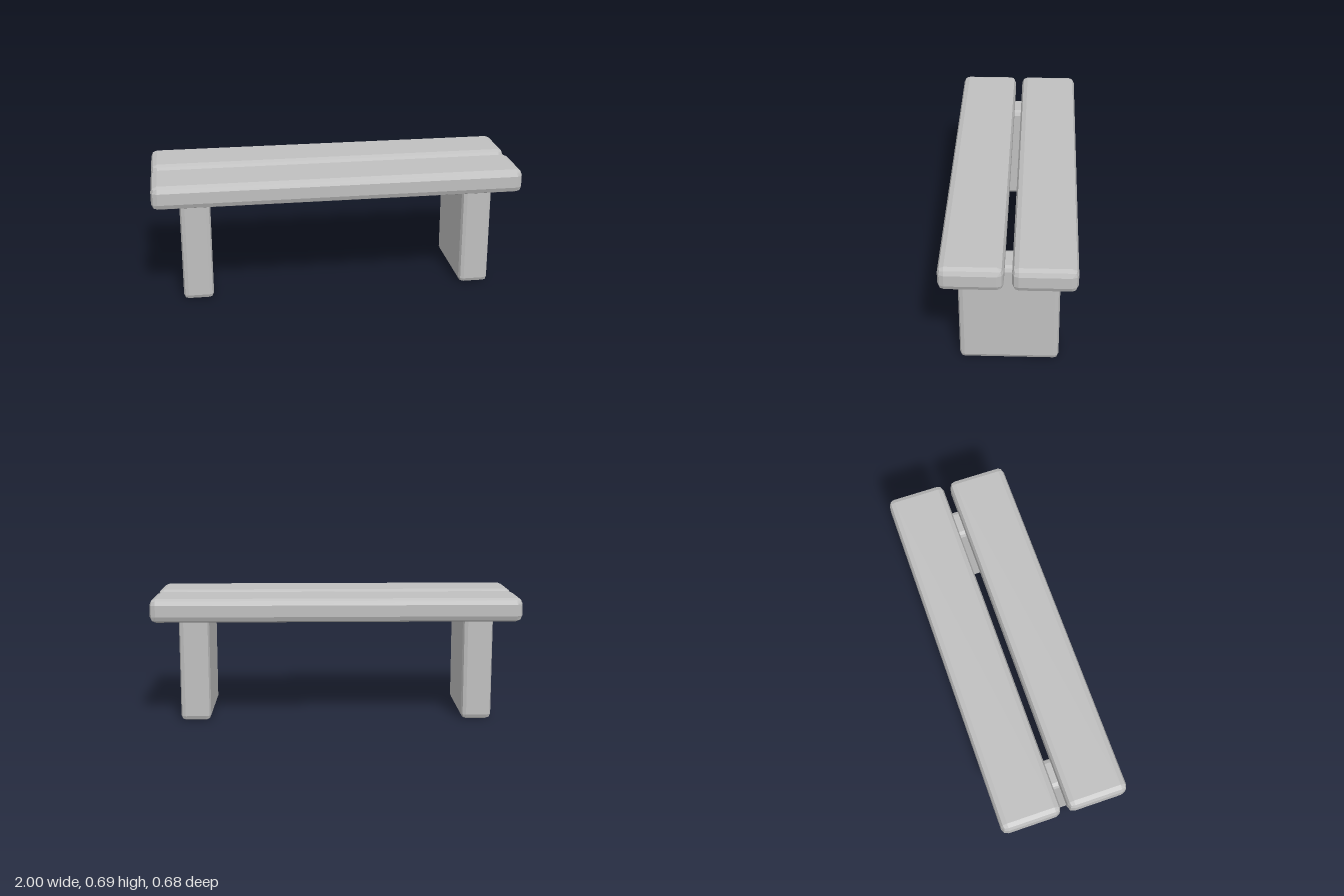
import * as THREE from 'three';
import { RoundedBoxGeometry } from 'three/addons/geometries/RoundedBoxGeometry.js';

export function createModel() {
  const bench = new THREE.Group();
  bench.name = 'bench';

  const stone = new THREE.MeshStandardMaterial({ color: 0xc0c0c0 });
  stone.name = 'stoneGrey';

  // Box with two-step faceted bevels on every edge
  function bevelledBlock(name, size, radius, position) {
    const geometry = new RoundedBoxGeometry(...size, 1, radius);
    geometry.computeVertexNormals(); // unshared corners give flat facets
    const mesh = new THREE.Mesh(geometry, stone);
    mesh.name = name;
    mesh.position.set(...position);
    bench.add(mesh);
  }

  // Two seat planks with a narrow gap between them
  for (const [name, side] of [['frontSeatPlank', 1], ['backSeatPlank', -1]]) {
    bevelledBlock(name, [2, 0.128, 0.322], 0.033, [0, 0.621, side * 0.181]);
  }

  // Two slab legs let into the underside of the planks
  for (const [name, side] of [['leftLeg', 1], ['rightLeg', -1]]) {
    bevelledBlock(name, [0.164, 0.595, 0.514], 0.026, [side * 0.773, 0.2975, 0]);
  }

  return bench;
}
